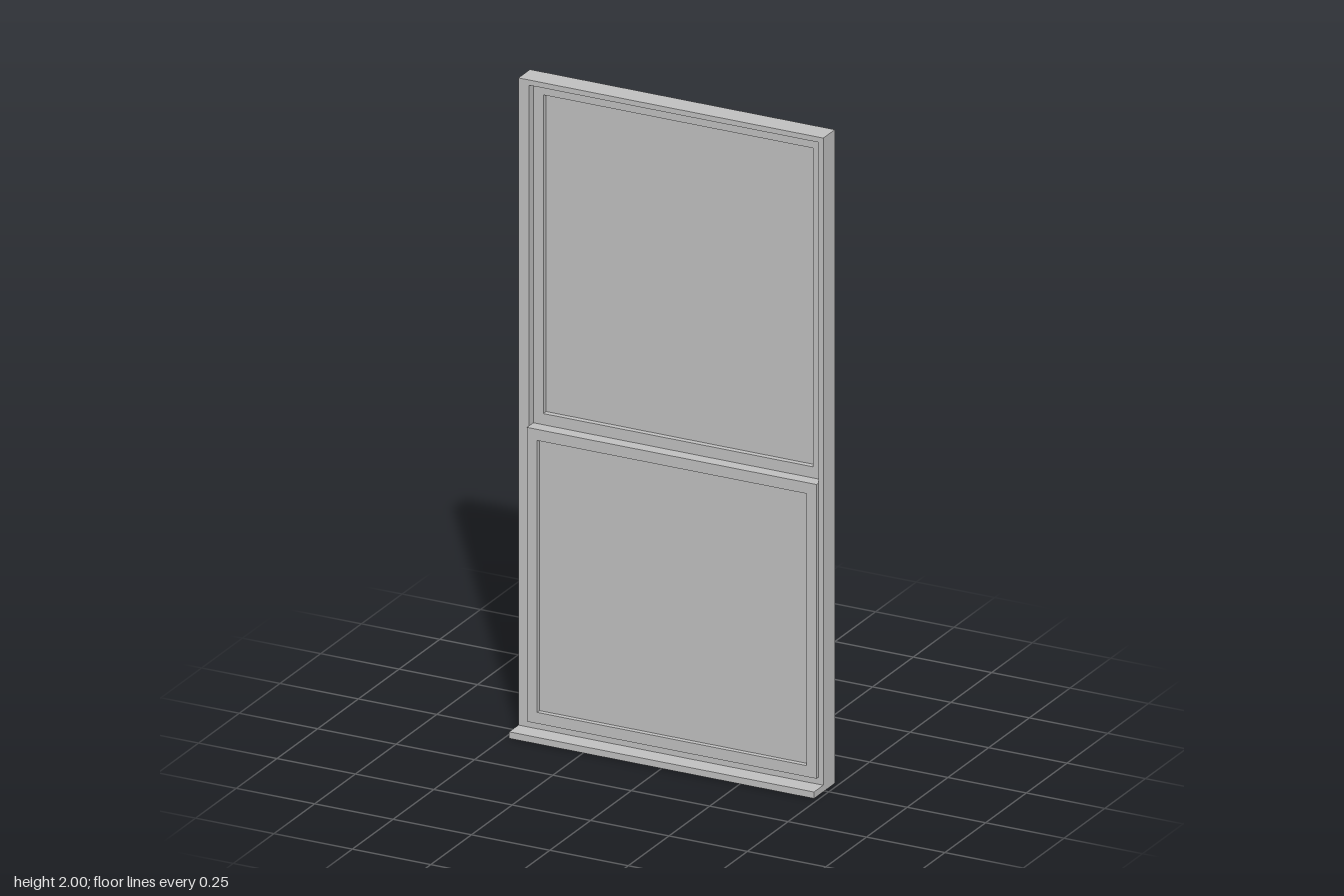
import * as THREE from 'three';

const grey = new THREE.MeshStandardMaterial({ color: 0xc0c0c0 });
grey.name = 'plain grey';

// Rectangular ring: outer and inner are [x0, y0, x1, y1], spanning depth z0..z1
function ring(name, outer, inner, z0, z1) {
  const trace = (path, [x0, y0, x1, y1]) =>
    path.moveTo(x0, y0).lineTo(x1, y0).lineTo(x1, y1).lineTo(x0, y1).closePath();
  const shape = trace(new THREE.Shape(), outer);
  shape.holes.push(trace(new THREE.Path(), inner));
  const geometry = new THREE.ExtrudeGeometry(shape, { depth: z1 - z0, bevelEnabled: false });
  geometry.translate(0, 0, z0);
  const mesh = new THREE.Mesh(geometry, grey);
  mesh.name = name;
  return mesh;
}

function block(name, [x0, y0, x1, y1], z0, z1) {
  const mesh = new THREE.Mesh(new THREE.BoxGeometry(x1 - x0, y1 - y0, z1 - z0), grey);
  mesh.position.set((x0 + x1) / 2, (y0 + y1) / 2, (z0 + z1) / 2);
  mesh.name = name;
  return mesh;
}

// Sash: four rails around a thin recessed pane
function sash(name, outer, z0, z1) {
  const rail = 0.032;
  const [x0, y0, x1, y1] = outer;
  const inner = [x0 + rail, y0 + rail + 0.002, x1 - rail, y1 - rail - 0.002];
  const mid = (z0 + z1) / 2;
  const group = new THREE.Group();
  group.name = name;
  group.add(ring(name + 'Rails', outer, inner, z0, z1));
  group.add(block(name + 'Pane', inner, mid - 0.004, mid + 0.004));
  return group;
}

export function createModel() {
  const model = new THREE.Group();
  model.name = 'sashWindow';

  const back = -0.064, meet = -0.021, front = 0.007;
  const left = -0.453, right = 0.47, bottom = 0.041, middle = 0.941, top = 1.984;

  // Fixed surround
  model.add(ring('windowFrame', [-0.486, 0, 0.486, 2], [left, bottom, right, top], back, front));
  // Upper sash sits at the back, lower sash in front of it
  model.add(sash('upperSash', [left, middle, right, top], back, meet));
  model.add(sash('lowerSash', [left, bottom, right, middle], meet, 0.018));
  // Projecting sill
  model.add(block('sill', [-0.486, 0, 0.486, 0.02], front, 0.064));

  return model;
}
